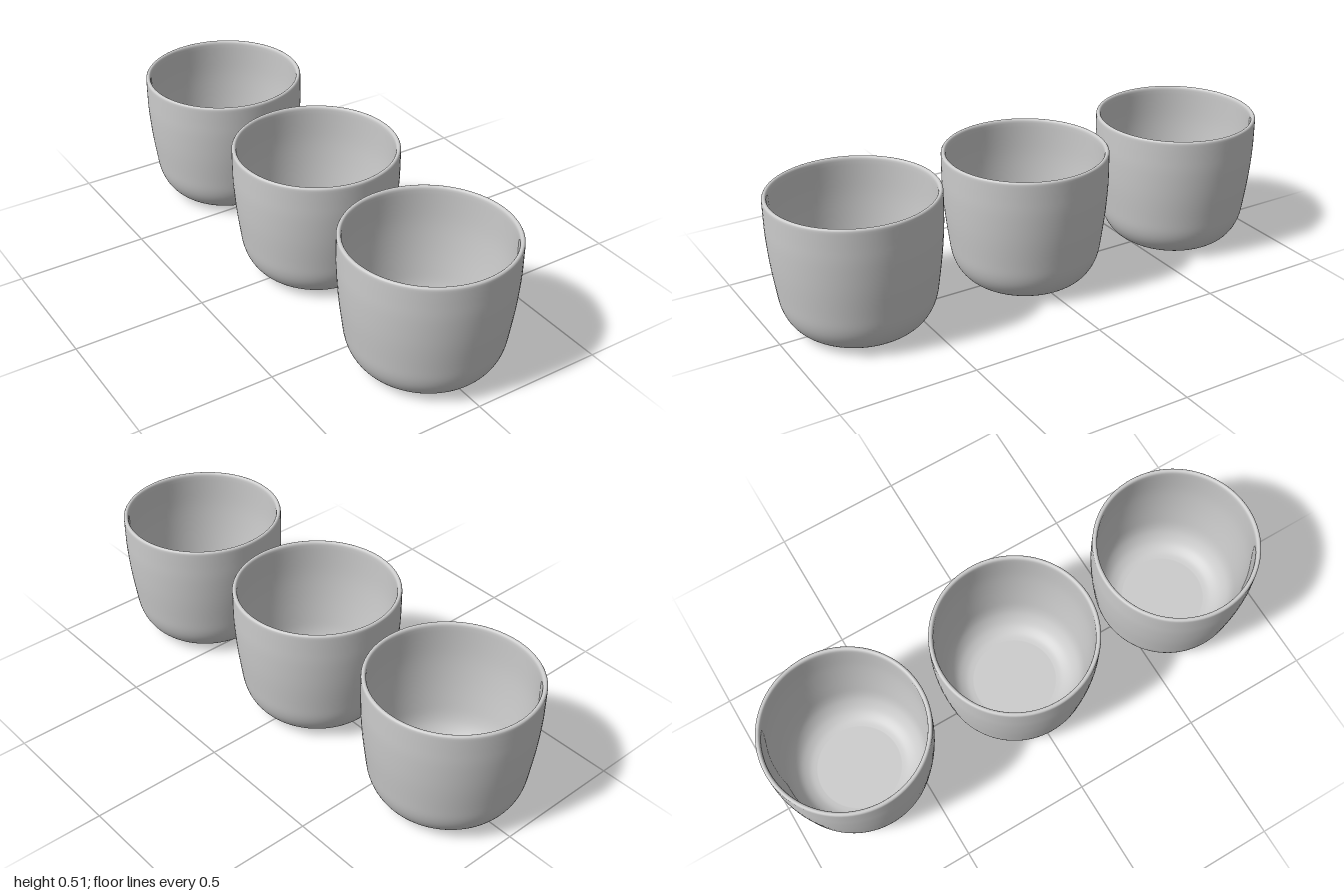
import * as THREE from 'three';

const curve = (pts, n) =>
  new THREE.SplineCurve(pts.map(([x, y]) => new THREE.Vector2(x, y))).getPoints(n);

export function createModel() {
  const group = new THREE.Group();
  group.name = 'threeCups';
  const material = new THREE.MeshStandardMaterial({ color: 0xcccccc });

  // Outside wall: rounded foot rising into a nearly straight side
  const outside = curve([
    [0.165, 0.002], [0.198, 0.009], [0.235, 0.034], [0.262, 0.07], [0.279, 0.115],
    [0.289, 0.18], [0.301, 0.28], [0.308, 0.38], [0.309, 0.45], [0.309, 0.503],
  ], 40);
  // Rounded lip
  const lip = curve([
    [0.3085, 0.509], [0.305, 0.514], [0.3, 0.515], [0.295, 0.513], [0.292, 0.507],
  ], 8);
  // Inside wall, following the outside down to the floor
  const inside = curve([
    [0.291, 0.5], [0.291, 0.38], [0.284, 0.28], [0.272, 0.18], [0.262, 0.12],
    [0.247, 0.08], [0.222, 0.046], [0.19, 0.026], [0.16, 0.02],
  ], 40);
  const profile = [
    new THREE.Vector2(0, 0), new THREE.Vector2(0.15, 0),
    ...outside, ...lip, ...inside,
    new THREE.Vector2(0, 0.02),
  ];
  const geometry = new THREE.LatheGeometry(profile, 96);

  // Three identical cups in a row from back to front
  ['backCup', 'middleCup', 'frontCup'].forEach((name, i) => {
    const cup = new THREE.Mesh(geometry, material);
    cup.name = name;
    cup.position.z = (i - 1) * 0.691;
    group.add(cup);
  });
  return group;
}
